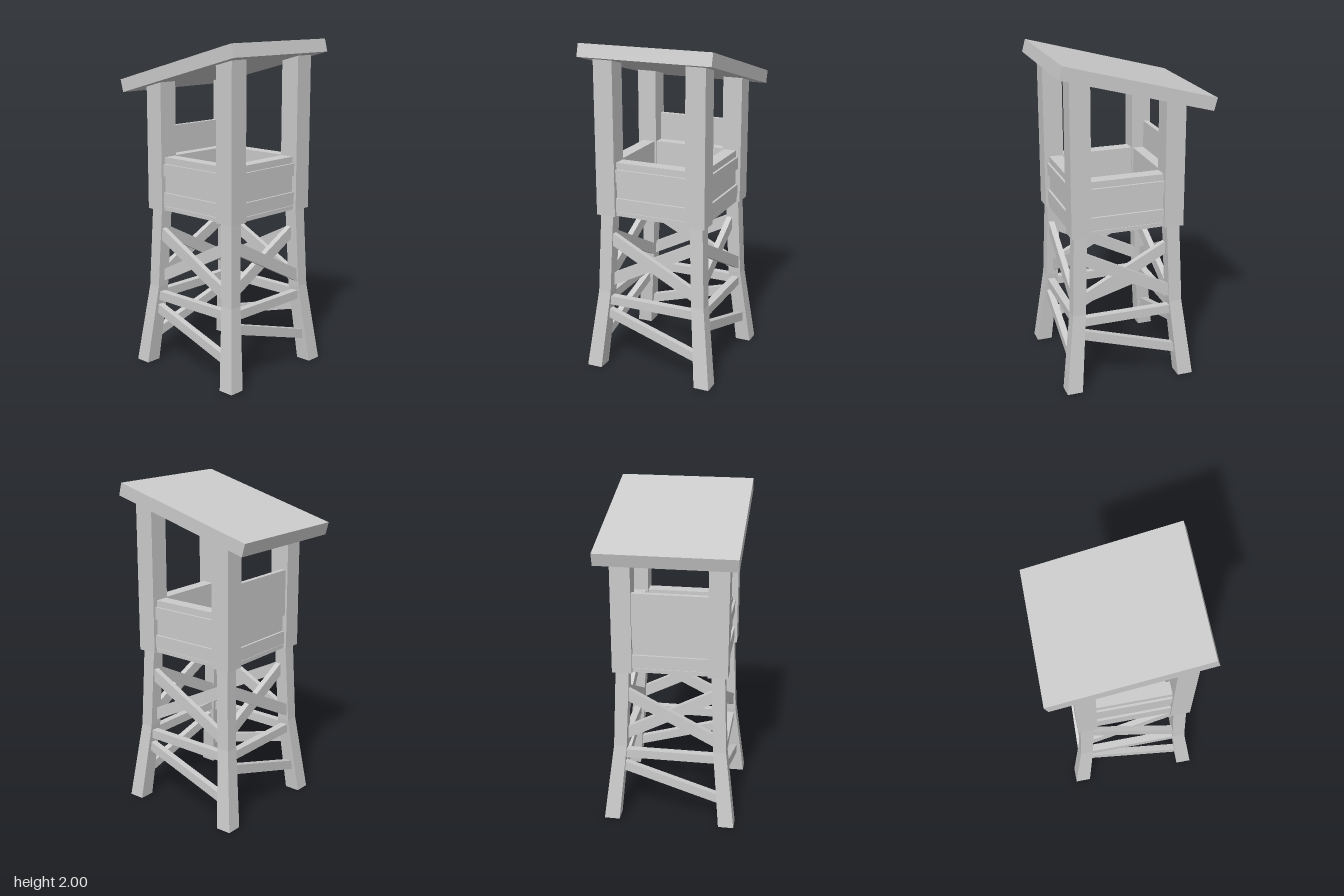
import * as THREE from 'three';

const material = new THREE.MeshStandardMaterial({ color: 0xcccccc, flatShading: true });

function addMesh(parent, name, geometry, x = 0, y = 0, z = 0) {
  const mesh = new THREE.Mesh(geometry, material);
  mesh.name = name;
  mesh.position.set(x, y, z);
  parent.add(mesh);
  return mesh;
}

const box = (w, h, d) => new THREE.BoxGeometry(w, h, d);

// Moves every vertex of a geometry by a rule
function reshape(geometry, rule) {
  const pos = geometry.attributes.position;
  const v = new THREE.Vector3();
  for (let i = 0; i < pos.count; i++) {
    rule(v.fromBufferAttribute(pos, i));
    pos.setXYZ(i, v.x, v.y, v.z);
  }
  geometry.computeVertexNormals();
  return geometry;
}

const TOWER_Z = 0.045;
const FLOOR_Y = 0.98;
const PITCH = THREE.MathUtils.degToRad(15);
const roofUnderside = (z) => 1.801 + z * Math.tan(PITCH);

// Leg sections: height, inner edge, outer edge
const LEG = [[0, 0.31, 0.405], [0.49, 0.266, 0.345], [FLOOR_Y, 0.247, 0.327]];

// Distance of the leg's centre line from the tower axis at a height
function legCentre(y) {
  const i = y < LEG[1][0] ? 0 : 1;
  const t = (y - LEG[i][0]) / (LEG[i + 1][0] - LEG[i][0]);
  const mid = (s) => (s[1] + s[2]) / 2;
  return mid(LEG[i]) * (1 - t) + mid(LEG[i + 1]) * t;
}

function legGeometry(sx, sz) {
  return reshape(new THREE.BoxGeometry(1, 2, 1, 1, 2, 1), (v) => {
    const [y, inner, outer] = LEG[Math.round(v.y + 1)];
    const x = v.x * sx > 0 ? outer : inner;
    const z = v.z * sz > 0 ? outer : inner;
    v.set(sx * x, y, sz * z);
  });
}

// Post whose top is cut to the slope of the roof
function postGeometry(sx, sz) {
  return reshape(box(0.12, 1, 0.12), (v) => {
    v.x += sx * 0.285;
    v.z += sz * 0.285;
    v.y = v.y > 0 ? roofUnderside(v.z + TOWER_Z) : FLOOR_Y;
  });
}

// Bar between the two legs of one side, from height y1 at the left to y2 at the right
function addBar(side, name, y1, y2, height, depth, offset) {
  const a = new THREE.Vector3(-legCentre(y1), y1, legCentre(y1) + offset);
  const b = new THREE.Vector3(legCentre(y2), y2, legCentre(y2) + offset);
  const along = b.clone().sub(a);
  const length = along.length();
  along.normalize();
  const up = new THREE.Vector3(0, 0, 1).cross(along).normalize();
  const out = along.clone().cross(up);
  const bar = addMesh(side, name, box(length, height, depth));
  bar.position.copy(a).add(b).multiplyScalar(0.5);
  bar.quaternion.setFromRotationMatrix(new THREE.Matrix4().makeBasis(along, up, out));
}

// One side, built facing +z: braces below, plank wall above
function makeSide(name, tall) {
  const side = new THREE.Group();
  side.name = name;
  addBar(side, 'upperBraceOuter', 0.845, 0.54, 0.07, 0.035, 0.012);
  addBar(side, 'upperBraceInner', 0.54, 0.845, 0.07, 0.035, -0.022);
  addBar(side, 'crossRail', 0.432, 0.432, 0.055, 0.045, 0);
  addBar(side, 'lowerBrace', 0.36, 0.16, 0.057, 0.04, 0);

  const width = 0.45;
  addMesh(side, 'wall', box(width, 0.315, 0.08), 0, 1.1475, 0.275);
  for (const [bottom, top] of [[1.01, 1.09], [1.19, 1.265]]) {
    addMesh(side, 'wallPlank', box(width, top - bottom, 0.02), 0, (bottom + top) / 2, 0.319);
  }
  if (tall) addMesh(side, 'tallWallPanel', box(width, 0.285, 0.03), 0, 1.3325, 0.316);
  return side;
}

export function createModel() {
  const model = new THREE.Group();
  model.name = 'watchtower';
  const tower = new THREE.Group();
  tower.name = 'tower';
  tower.position.z = TOWER_Z;
  model.add(tower);

  // Legs and posts at the four corners
  for (const sx of [-1, 1]) {
    for (const sz of [-1, 1]) {
      const corner = (sz > 0 ? 'front' : 'back') + (sx > 0 ? 'Left' : 'Right');
      addMesh(tower, corner + 'Leg', legGeometry(sx, sz));
      addMesh(tower, corner + 'Post', postGeometry(sx, sz));
    }
  }

  // Four sides, turned around the tower axis
  ['frontSide', 'leftSide', 'backSide', 'rightSide'].forEach((name, i) => {
    const side = makeSide(name, i === 2);
    side.rotation.y = i * Math.PI / 2;
    tower.add(side);
  });

  addMesh(tower, 'floor', box(0.65, 0.025, 0.65), 0, FLOOR_Y + 0.0135, 0);

  // Sloping roof, high at the front
  const roof = addMesh(model, 'roof', box(0.814, 0.078, 0.938), 0, 1.841, 0);
  roof.rotation.x = -PITCH;
  return model;
}
